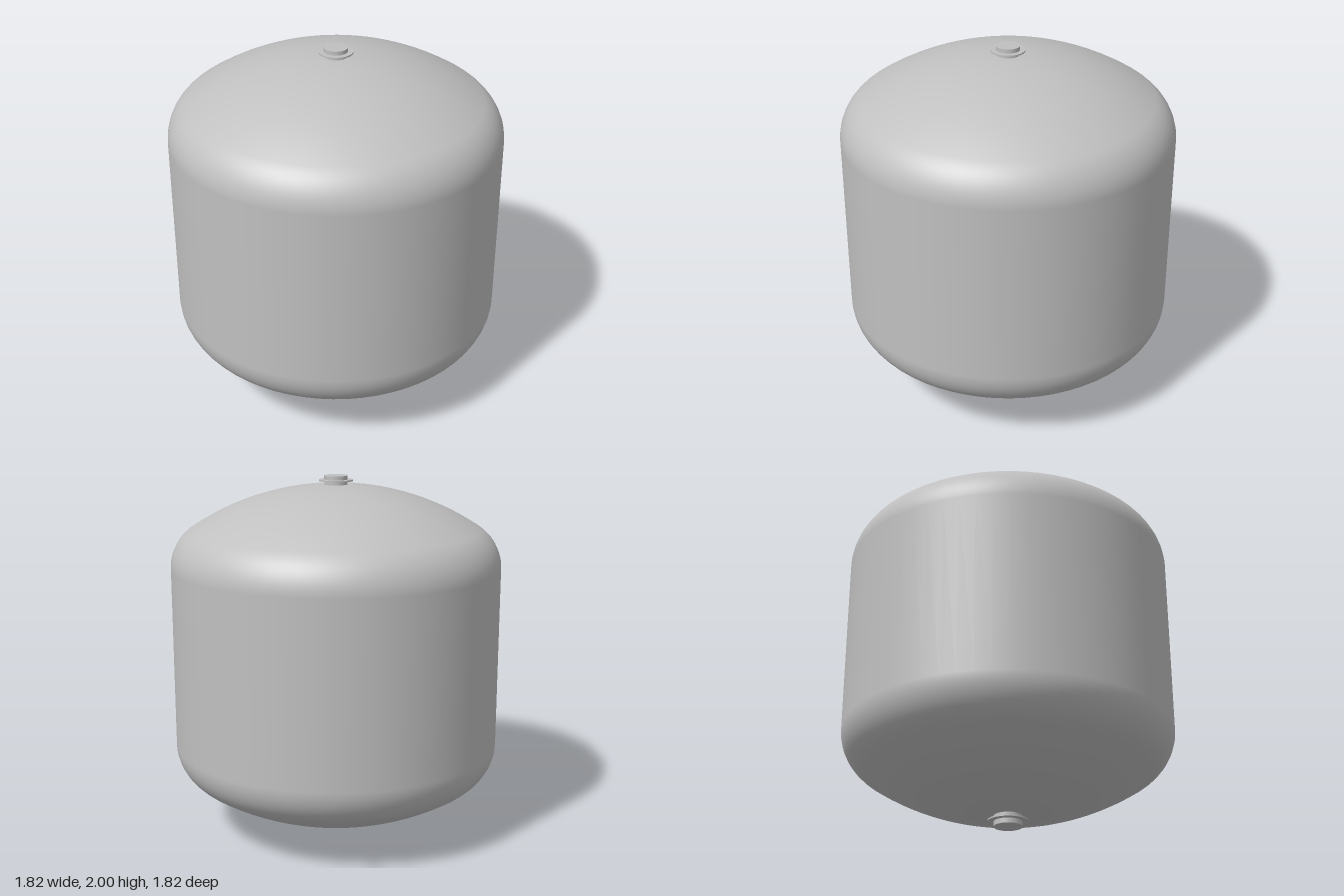
import * as THREE from 'three';

const SEGMENTS = 64;

export function createModel() {
  const model = new THREE.Group();
  model.name = 'pressureTank';
  const steel = new THREE.MeshStandardMaterial({ color: 0xc0c0c0 });
  steel.name = 'grey steel';

  const add = (name, geometry, y = 0) => {
    const mesh = new THREE.Mesh(geometry, steel);
    mesh.name = name;
    mesh.position.y = y;
    model.add(mesh);
  };

  // Tank shell: straight wall with a torispherical head at each end
  const radius = 0.91, middle = 1.005, halfWall = 0.5;
  const knuckle = 0.25, crown = 1.45;
  const knuckleX = radius - knuckle;
  const crownAngle = Math.asin(knuckleX / (crown - knuckle));
  const crownY = halfWall - (crown - knuckle) * Math.cos(crownAngle);

  // Upper half of the profile, from the wall to the apex
  const half = [];
  for (let i = 0; i <= 12; i++) {
    const a = Math.PI / 2 + (crownAngle - Math.PI / 2) * (i / 12);
    half.push([knuckleX + knuckle * Math.sin(a), halfWall + knuckle * Math.cos(a)]);
  }
  for (let i = 1; i <= 14; i++) {
    const a = crownAngle * (1 - i / 14);
    half.push([crown * Math.sin(a), crownY + crown * Math.cos(a)]);
  }
  const lower = half.map(([x, y]) => new THREE.Vector2(x, middle - y)).reverse();
  const upper = half.map(([x, y]) => new THREE.Vector2(x, middle + y));
  add('tankShell', new THREE.LatheGeometry([...lower, ...upper], SEGMENTS));

  // Nozzles: a short pipe with a thin flange at each pole
  const nozzle = (name, pipeRadius, flangeRadius, bottom, top, flangeY) => {
    add(name + 'Pipe', new THREE.CylinderGeometry(pipeRadius, pipeRadius, top - bottom, SEGMENTS), (bottom + top) / 2);
    add(name + 'Flange', new THREE.CylinderGeometry(flangeRadius, flangeRadius, 0.008, SEGMENTS), flangeY);
  };
  nozzle('topNozzle', 0.064, 0.092, 1.93, 2, 1.974);
  nozzle('bottomNozzle', 0.078, 0.11, 0, 0.08, 0.031);

  return model;
}
